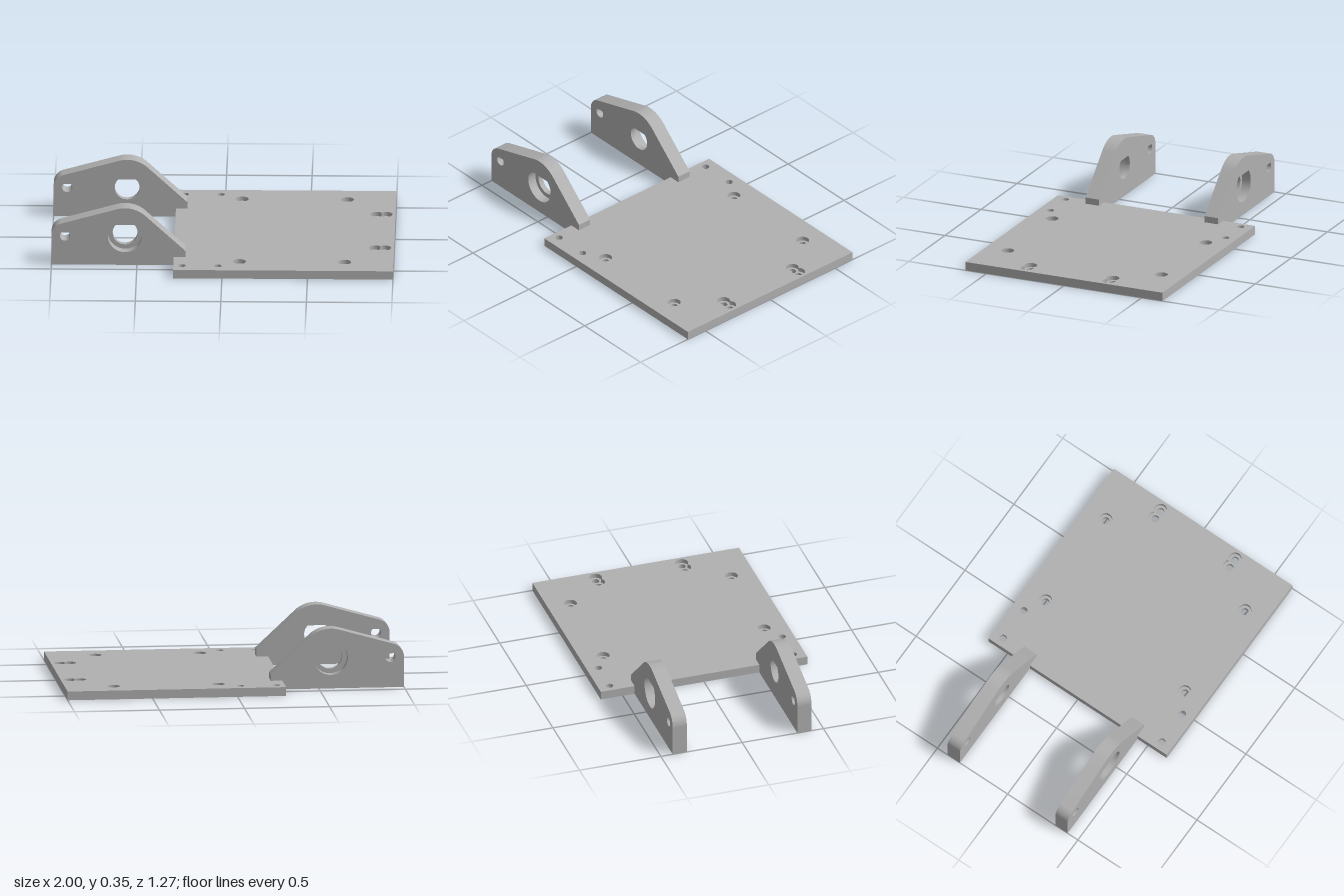
import * as THREE from 'three';
import { toCreasedNormals } from 'three/addons/utils/BufferGeometryUtils.js';

const grey = new THREE.MeshStandardMaterial({ color: 0xb0b0b0 });
grey.name = 'grey';

const PLATE_HEIGHT = 0.052;
const ARM_INNER = 0.34, ARM_OUTER = 0.427, BORE_DEPTH = 0.055;

function circle(x, y, r) {
  return new THREE.Path().absarc(x, y, r, 0, Math.PI * 2, false);
}

// Round hole with a 45 degree pointed roof
function teardrop(x, y, r) {
  const p = new THREE.Path();
  p.moveTo(x, y + r * Math.SQRT2);
  p.absarc(x, y, r, Math.PI * 0.75, Math.PI * 2.25, false);
  p.closePath();
  return p;
}

// Outline of two overlapping circles side by side
function doubleCircle(x1, x2, y, r) {
  const a = Math.acos((x2 - x1) / 2 / r);
  const p = new THREE.Path();
  p.absarc(x1, y, r, a, Math.PI * 2 - a, false);
  p.absarc(x2, y, r, Math.PI + a, Math.PI * 3 - a, false);
  p.closePath();
  return p;
}

function extrude(shape, depth) {
  const g = new THREE.ExtrudeGeometry(shape, { depth, bevelEnabled: false, curveSegments: 24 });
  return toCreasedNormals(g, 0.5);
}

// One layer of the base plate; bores are wide where the screw heads sit
function plateLayer(name, y, height, top) {
  const s = new THREE.Shape();
  s.moveTo(-0.285, -0.635);
  s.lineTo(1, -0.635);
  s.lineTo(1, 0.635);
  s.lineTo(-0.285, 0.635);
  s.closePath();
  const narrow = 0.022, wide = 0.038;
  for (const side of [-1, 1]) {
    for (const x of [-0.235, -0.025]) s.holes.push(circle(x, side * 0.565, top ? narrow : wide));
    for (const x of [0.1, 0.715]) s.holes.push(circle(x, side * 0.495, top ? wide : narrow));
    if (top) s.holes.push(doubleCircle(0.89, 0.945, side * 0.265, wide));
    else for (const x of [0.89, 0.945]) s.holes.push(circle(x, side * 0.265, narrow));
  }
  const mesh = new THREE.Mesh(extrude(s, height).rotateX(-Math.PI / 2), grey);
  mesh.position.y = y;
  mesh.name = name;
  return mesh;
}

// Side profile of an arm, stepped to rest on the plate
function armShape(boreRadius) {
  const s = new THREE.Shape();
  const left = THREE.MathUtils.degToRad(105.5), right = THREE.MathUtils.degToRad(47);
  s.moveTo(-1, 0);
  s.lineTo(-0.285, 0);
  s.lineTo(-0.285, PLATE_HEIGHT);
  s.lineTo(-0.217, PLATE_HEIGHT);
  s.lineTo(-0.217, 0.09);
  s.absarc(-0.57, 0.18, 0.175, right, left, false);
  s.absarc(-0.92, 0.18, 0.08, left, Math.PI, false);
  s.closePath();
  s.holes.push(teardrop(-0.92, 0.18, 0.03), teardrop(-0.57, 0.18, boreRadius));
  return s;
}

// Arm with the wide bearing seat on its outer face
function arm(name, side) {
  const group = new THREE.Group();
  group.name = name;
  const step = ARM_OUTER - BORE_DEPTH;
  for (const [part, from, to, r] of [
    ['innerWall', ARM_INNER, step, 0.073],
    ['bearingSeat', step, ARM_OUTER, 0.1],
  ]) {
    const mesh = new THREE.Mesh(extrude(armShape(r), to - from), grey);
    mesh.position.z = side > 0 ? from : -to;
    mesh.name = part;
    group.add(mesh);
  }
  return group;
}

export function createModel() {
  const model = new THREE.Group();
  model.name = 'hingedBracket';
  const half = PLATE_HEIGHT / 2;
  model.add(
    plateLayer('basePlateLower', 0, half, false),
    plateLayer('basePlateUpper', half, half, true),
    arm('frontArm', 1),
    arm('backArm', -1),
  );
  return model;
}
